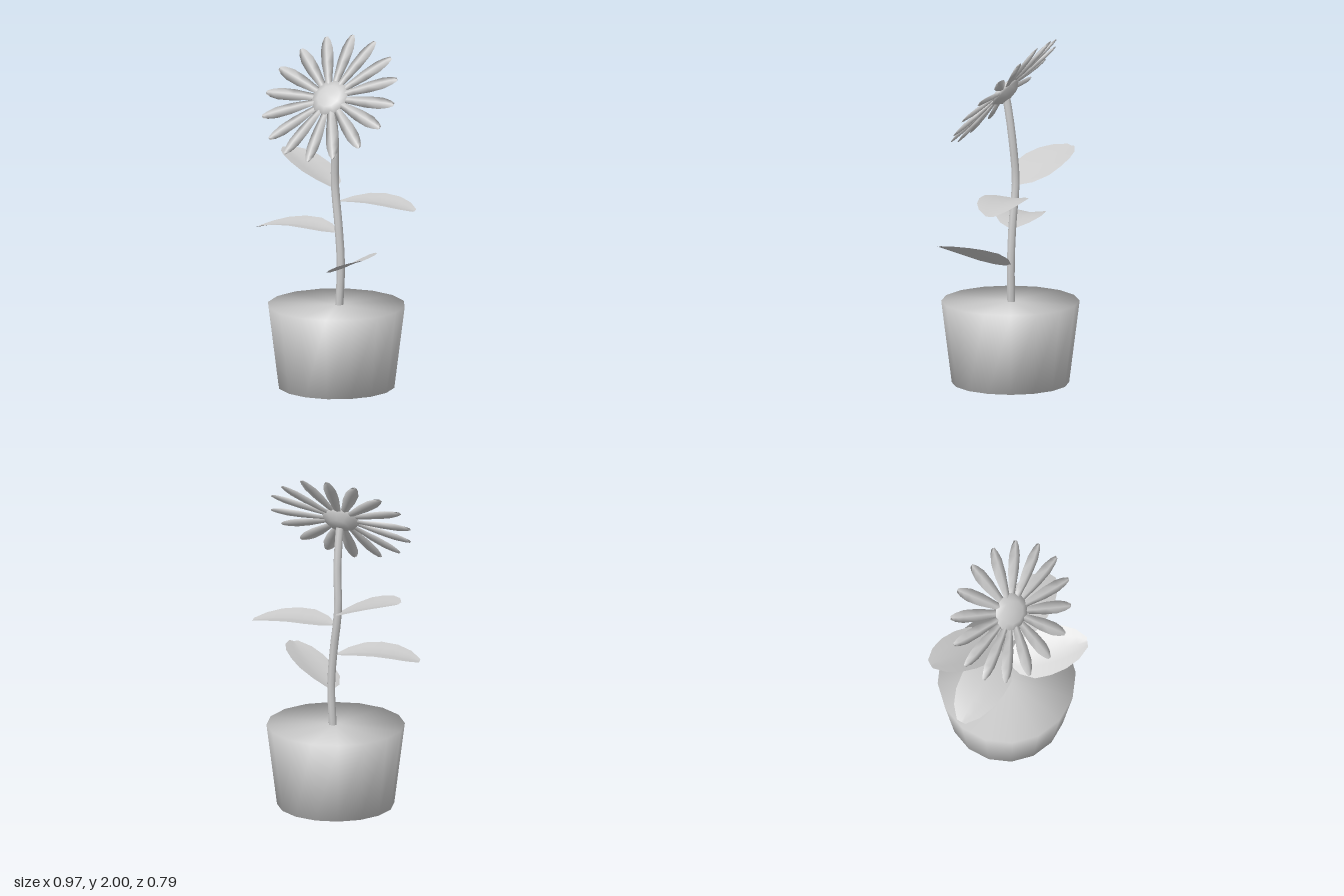
import * as THREE from 'three';
import { mergeVertices } from 'three/addons/utils/BufferGeometryUtils.js';

const grey = new THREE.MeshStandardMaterial({ color: 0xcccccc });
grey.name = 'plain grey';
const greyThin = grey;
greyThin.side = THREE.DoubleSide;

function part(name, geometry, material = grey) {
  const mesh = new THREE.Mesh(geometry, material);
  mesh.name = name;
  return mesh;
}

// Smooth surface through rows of points; a closed one wraps around
function loft(rows, closed) {
  const n = rows[0].length;
  const index = [];
  for (let i = 0; i < rows.length - 1; i++) {
    for (let j = 0; j < (closed ? n : n - 1); j++) {
      const a = i * n + j, b = i * n + (j + 1) % n;
      index.push(a, b, b + n, a, b + n, a + n);
    }
  }
  const geometry = new THREE.BufferGeometry();
  geometry.setAttribute('position', new THREE.Float32BufferAttribute(rows.flat(2), 3));
  geometry.setIndex(index);
  geometry.computeVertexNormals();
  return geometry;
}

// Shares the vertices at the rims so that shading runs over them
function smooth(geometry) {
  geometry.deleteAttribute('normal');
  geometry.deleteAttribute('uv');
  const merged = mergeVertices(geometry, 1e-4);
  merged.computeVertexNormals();
  return merged;
}

// Broad leaf: a folded blade along base-tip, bent only across x
function leafGeometry([x0, y0, z0], [x1, y1, z1], arch) {
  const widths = [[0, 0.015], [0.12, 0.085], [0.3, 0.13], [0.5, 0.135], [0.7, 0.12], [0.87, 0.085], [1, 0.028]];
  const length = Math.hypot(x1 - x0, z1 - z0);
  const dx = (x1 - x0) / length, dz = (z1 - z0) / length;
  const rows = widths.map(([t, w]) => [-1, -0.5, 0, 0.5, 1].map(v => {
    const x = x0 + dx * t * length + dz * w * v;
    const z = z0 + dz * t * length - dx * w * v;
    const s = (x - x0) / (x1 - x0);
    const fold = 0.15 * w * (Math.abs(v) - 0.5);
    return [x, y0 + (y1 - y0) * s + arch * 4 * s * (1 - s) + fold, z];
  }));
  return loft(rows, false);
}

// Slim petal along +x with a lens-shaped section
function petalGeometry() {
  const sections = [[0.08, 0.018, 0.006], [0.15, 0.026, 0.011], [0.24, 0.037, 0.013],
    [0.33, 0.038, 0.012], [0.385, 0.026, 0.008], [0.417, 0.012, 0.003], [0.418, 0, 0]];
  return loft(sections.map(([r, w, h]) => [[r, -w, 0], [r, 0, h], [r, w, 0], [r, 0, -h]]).map(
    row => row.reverse()), true);
}

export function createModel() {
  const model = new THREE.Group();
  model.name = 'potted flower';

  // Pot
  const pot = part('pot', smooth(new THREE.CylinderGeometry(0.394, 0.334, 0.475, 16)));
  pot.position.set(0.003, 0.2375, 0);
  model.add(pot);

  // Stem
  const path = new THREE.CatmullRomCurve3([
    [0.016, 0.46, -0.01], [0.026, 0.7, -0.012], [0.01, 0.92, -0.015], [-0.02, 1.17, -0.023],
    [-0.01, 1.4, -0.008], [-0.01, 1.56, 0.014], [-0.012, 1.67, 0.035],
  ].map(p => new THREE.Vector3(...p)));
  model.add(part('stem', new THREE.TubeGeometry(path, 14, 0.024, 8)));

  // Leaves
  const leaves = [
    ['lowerLeftLeaf', [0.03, 0.685, -0.01], [0.365, 0.84, 0.295], 0.012],
    ['lowerRightLeaf', [0, 0.895, -0.01], [-0.48, 0.885, 0.07], 0.042],
    ['upperLeftLeaf', [0, 1.075, -0.02], [0.48, 1.068, -0.07], 0.036],
    ['upperRightLeaf', [-0.02, 1.15, -0.02], [-0.445, 1.305, -0.19], 0.018],
  ];
  for (const [name, base, tip, arch] of leaves) {
    model.add(part(name, leafGeometry(base, tip, arch), greyThin));
  }

  // Flower head, tilted up
  const head = new THREE.Group();
  head.name = 'flowerHead';
  head.position.set(-0.012, 1.69, 0.045);
  head.rotation.x = -0.725;
  model.add(head);

  const profile = [[0, -0.055], [0.06, -0.045], [0.1, -0.015], [0.112, 0.004], [0.07, 0.022], [0, 0.03]];
  const centre = part('flowerCentre',
    smooth(new THREE.LatheGeometry(profile.map(p => new THREE.Vector2(...p)), 10)));
  centre.rotation.x = Math.PI / 2;
  head.add(centre);

  // Ring of petals
  const petal = petalGeometry();
  const count = 16;
  for (let i = 0; i < count; i++) {
    const mesh = part('petal', petal);
    mesh.rotation.z = (i / count) * Math.PI * 2 + 0.045;
    mesh.position.z = i % 2 ? 0.003 : -0.003;
    head.add(mesh);
  }
  return model;
}
